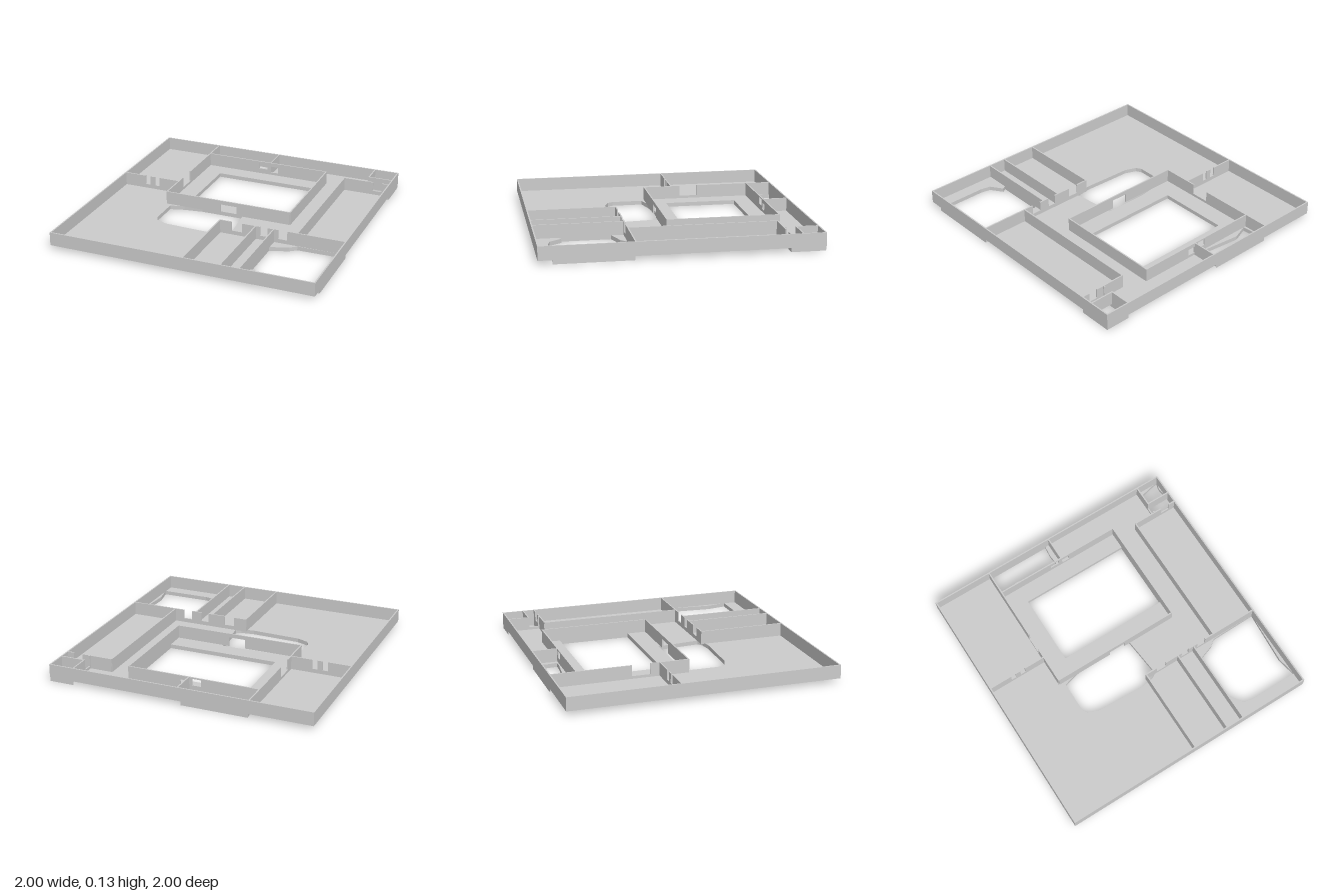
import * as THREE from 'three';

const FLOOR = 0.03, TOP = 0.13, T = 0.01;

export function createModel() {
  const model = new THREE.Group();
  model.name = 'floorPlan';
  const mat = new THREE.MeshStandardMaterial({ color: 0xcccccc, flatShading: true, side: THREE.DoubleSide });

  const addBox = (parent, name, x0, x1, y0, y1, z0, z1) => {
    const m = new THREE.Mesh(new THREE.BoxGeometry(x1 - x0, y1 - y0, z1 - z0), mat);
    m.position.set((x0 + x1) / 2, (y0 + y1) / 2, (z0 + z1) / 2);
    m.name = name;
    parent.add(m);
  };

  // Wall along x or z at a fixed offset; gaps are [from, to, sillHeight, headHeight]
  const wall = (name, axis, at, a, b, gaps = []) => {
    const g = new THREE.Group();
    g.name = name;
    const piece = (s, e, y0, y1) => {
      if (e - s < 0.001 || y1 - y0 < 0.001) return;
      if (axis === 'x') addBox(g, 'wallPiece', s, e, y0, y1, at - T / 2, at + T / 2);
      else addBox(g, 'wallPiece', at - T / 2, at + T / 2, y0, y1, s, e);
    };
    let start = a;
    for (const [s, e, sill, head] of gaps) {
      piece(start, s, FLOOR, TOP);
      piece(s, e, FLOOR, sill);
      piece(s, e, head, TOP);
      start = e;
    }
    piece(start, b, FLOOR, TOP);
    model.add(g);
  };

  // Openings in the floor as [x, z] outlines
  const openings = {
    courtyard: [[-0.39, -0.67], [0.46, -0.67], [0.46, -0.125], [-0.39, -0.125]],
    hall: [[-0.25, 0.005], [0.085, 0.005], [0.118, 0.335], [0.08, 0.36], [-0.02, 0.373],
      [-0.39, 0.358], [-0.475, 0.325], [-0.497, 0.285], [-0.497, 0.055], [-0.39, 0.025]],
    backRoom: [[-0.528, -0.994], [-0.51, -0.81], [-0.39, -0.855], [-0.1, -0.82], [-0.04, -0.82],
      [-0.048, -0.9], [-0.04, -0.994]],
    frontRoom: [[0.456, 0.43], [0.59, 0.385], [0.64, 0.345], [0.994, 0.34], [0.985, 0.45],
      [0.965, 0.75], [0.994, 0.895], [0.62, 0.895], [0.55, 0.88], [0.49, 0.79], [0.456, 0.81]],
    cornerRoom: [[0.812, -0.75], [0.812, -0.91], [0.84, -0.96], [0.94, -0.985], [0.994, -0.994],
      [0.98, -0.94], [0.994, -0.84], [0.994, -0.75]],
  };

  // Floor sheet with the openings cut out
  const toV2 = ([x, z]) => new THREE.Vector2(x, -z);
  const shape = new THREE.Shape([[-1, -1], [1, -1], [1, 1], [-1, 1]].map(toV2));
  for (const pts of Object.values(openings)) shape.holes.push(new THREE.Path(pts.map(toV2)));
  const floor = new THREE.Mesh(new THREE.ShapeGeometry(shape), mat);
  floor.rotation.x = -Math.PI / 2;
  floor.position.y = FLOOR;
  floor.name = 'floor';
  model.add(floor);

  // Thin strips hanging below the floor
  const skirt = (name, pts, closed) => {
    const pos = [];
    const count = closed ? pts.length : pts.length - 1;
    for (let i = 0; i < count; i++) {
      const [ax, az] = pts[i], [bx, bz] = pts[(i + 1) % pts.length];
      pos.push(ax, 0, az, bx, 0, bz, bx, FLOOR, bz, ax, 0, az, bx, FLOOR, bz, ax, FLOOR, az);
    }
    const geo = new THREE.BufferGeometry();
    geo.setAttribute('position', new THREE.Float32BufferAttribute(pos, 3));
    geo.computeVertexNormals();
    const m = new THREE.Mesh(geo, mat);
    m.name = name;
    model.add(m);
  };
  for (const [name, pts] of Object.entries(openings)) skirt(name + 'Skirt', pts, true);
  skirt('underfloorStep', [[0.81, -0.75], [0.465, -0.75], [0.465, 0.34]], false);
  skirt('backEdgeSkirt', [[-0.53, -0.998], [-0.03, -0.998]], false);
  skirt('cornerEdgeSkirt', [[0.81, -0.998], [0.998, -0.998], [0.998, -0.75]], false);
  skirt('sideEdgeSkirt', [[0.998, 0.34], [0.998, 0.9]], false);

  // Outer walls
  const E = 1 - T / 2;
  for (const s of [-1, 1]) {
    wall(s < 0 ? 'backWall' : 'frontWall', 'x', s * E, -1, 1);
    wall(s < 0 ? 'rightWall' : 'leftWall', 'z', s * E, -1, 1);
  }

  // Central room
  wall('centralBackWall', 'x', -0.805, -0.535, 0.465, [[-0.1, -0.03, 0.07, 0.12], [0, 0.06, 0.05, 0.1]]);
  wall('centralFrontWall', 'x', 0.025, -0.535, 0.465, [[-0.09, 0.04, 0.03, 0.1]]);
  wall('centralLeftWall', 'z', 0.465, -0.805, 0.025);
  wall('centralRightWall', 'z', -0.535, -1, 0.025, [[-0.4, -0.26, 0.05, TOP]]);

  // Side rooms
  wall('rightDivider', 'x', -0.19, -1, -0.535, [[-0.82, -0.78, 0.06, TOP], [-0.74, -0.7, 0.06, TOP]]);
  wall('backDivider', 'z', -0.005, -1, -0.805);
  wall('cornerSideWall', 'z', 0.81, -1, -0.745, [[-0.83, -0.76, 0.05, TOP]]);
  wall('cornerDivider', 'x', -0.835, 0.81, 1);
  wall('leftRoomBackWall', 'x', -0.745, 0.635, 1, [[0.87, 0.94, 0.06, TOP]]);
  wall('leftRoomSideWall', 'z', 0.635, -0.745, 0.335);

  // Front rooms
  wall('frontRoomsBackWall', 'x', 0.335, 0.035, 1,
    [[0.13, 0.21, 0.06, TOP], [0.35, 0.41, 0.06, TOP], [0.49, 0.56, 0.06, TOP]]);
  for (const x of [0.035, 0.315, 0.455]) wall('frontDivider', 'z', x, 0.335, 1);

  return model;
}
